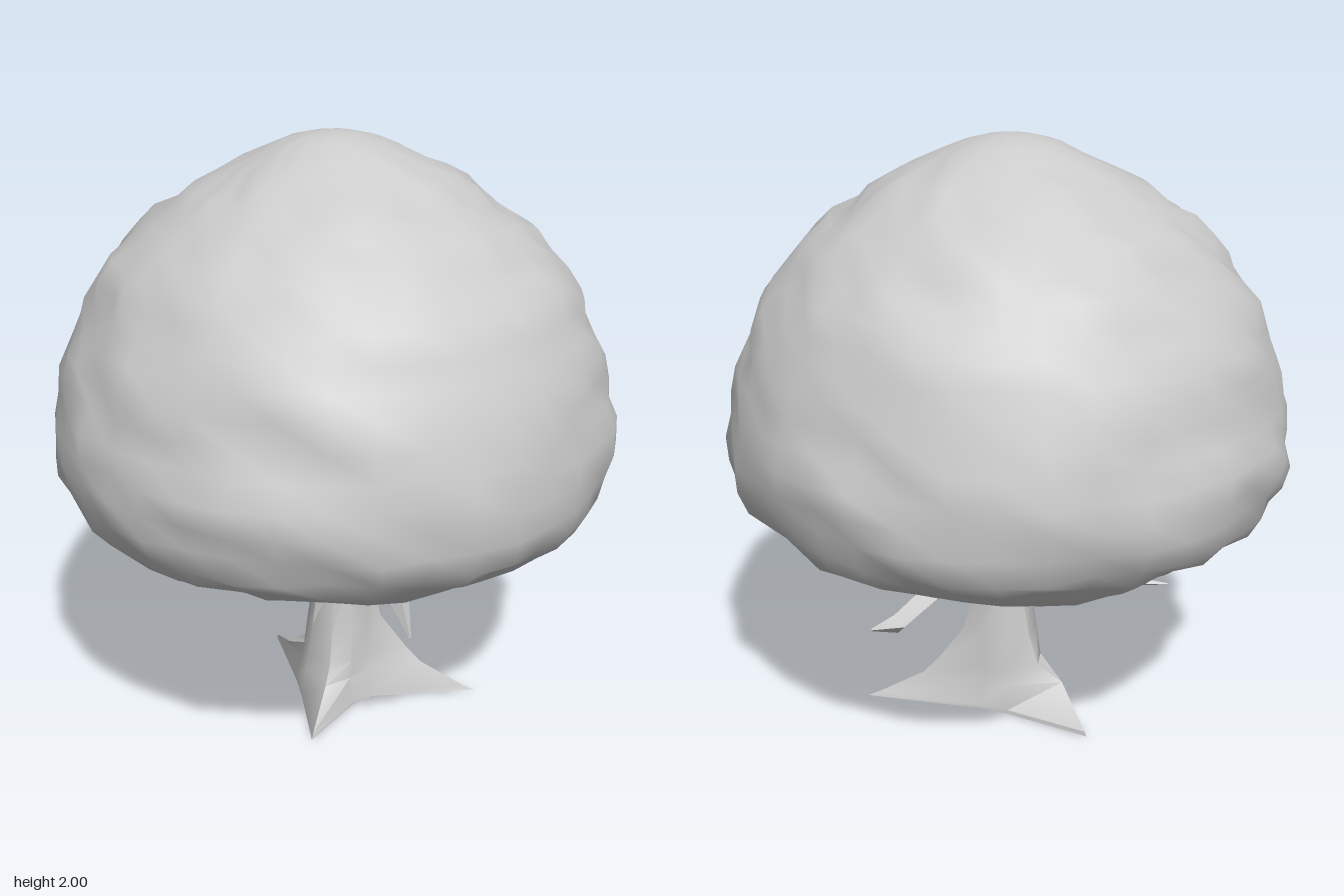
import * as THREE from 'three';
import { mergeVertices, toCreasedNormals } from 'three/addons/utils/BufferGeometryUtils.js';

const material = new THREE.MeshStandardMaterial({ color: 0xcccccc });
const v3 = (x, y, z) => new THREE.Vector3(x, y, z);

function addMesh(group, name, geometry) {
  const mesh = new THREE.Mesh(geometry, material);
  mesh.name = name;
  group.add(mesh);
}

// Repeatable random numbers from -1 to 1.
function seeded(seed) {
  return () => {
    seed = (seed * 16807) % 2147483647;
    return (seed / 2147483647) * 2 - 1;
  };
}

// Skin a stack of closed rings (each counter-clockwise seen from the far end) and cap both ends.
function loft(rings, creaseAngle) {
  const n = rings[0].length;
  const points = rings.flat();
  const index = [];
  for (let i = 0; i < rings.length - 1; i++) {
    for (let j = 0; j < n; j++) {
      const a = i * n + j, b = i * n + (j + 1) % n;
      index.push(a, b, b + n, a, b + n, a + n);
    }
  }
  [rings[0], rings[rings.length - 1]].forEach((ring, end) => {
    const centre = ring.reduce((sum, p) => sum.add(p), v3(0, 0, 0)).divideScalar(n);
    const c = points.push(centre) - 1;
    const start = end ? (rings.length - 1) * n : 0;
    for (let j = 0; j < n; j++) {
      const a = start + j, b = start + (j + 1) % n;
      index.push(c, end ? a : b, end ? b : a);
    }
  });
  const geometry = new THREE.BufferGeometry().setFromPoints(points);
  geometry.setIndex(index);
  return toCreasedNormals(geometry, creaseAngle);
}

// Rounded crown: a turned profile roughened by waves and a little jitter.
function crownGeometry() {
  const profile = new THREE.CatmullRomCurve3([
    [0, 0.58], [0.25, 0.597], [0.5, 0.645], [0.73, 0.735], [0.86, 0.84], [0.915, 0.95], [0.92, 1.06],
    [0.885, 1.22], [0.83, 1.4], [0.7, 1.61], [0.47, 1.8], [0.28, 1.91], [0.13, 1.975], [0, 1.995],
  ].map(([r, y]) => v3(r, y, 0)));
  const outline = profile.getSpacedPoints(32).map((p) => new THREE.Vector2(Math.max(p.x, 0), p.y));
  outline[0].x = outline[32].x = 0;
  const lathe = new THREE.LatheGeometry(outline, 40);
  lathe.deleteAttribute('uv');
  lathe.deleteAttribute('normal');
  const geometry = mergeVertices(lathe, 1e-4);
  const position = geometry.attributes.position;
  const random = seeded(77);
  for (let i = 0; i < position.count; i++) {
    const x = position.getX(i), y = position.getY(i), z = position.getZ(i);
    const bump = 0.009 * Math.sin(22 * y + 3 * Math.sin(5 * x) + 3 * Math.cos(5 * z))
      + 0.007 * Math.sin(17 * x + 2) * Math.sin(16 * z + 1)
      + 0.015 * random();
    // Calm near the axis, where the vertices crowd together.
    const k = 1 + bump * THREE.MathUtils.smoothstep(Math.hypot(x, z), 0.03, 0.6);
    position.setXYZ(i, x * k, 1.1 + (y - 1.1) * k, z * k);
  }
  geometry.computeVertexNormals();
  return geometry;
}

// Trunk with three flared roots; each level lists height, centre x, bark radius,
// root reaches and root directions in degrees. Two bark points fill each gap.
function trunkGeometry() {
  const gaps = [[42, 77], [155, 198], [285, 327]];
  const levels = [
    [0, 0.01, 0.15, [0.5, 0.36, 0.4], [13, 112, 243]],
    [0.015, 0.01, 0.15, [0.46, 0.34, 0.39], [13, 112, 243]],
    [0.1, 0.01, 0.13, [0.3, 0.18, 0.22], [10, 111, 224]],
    [0.16, 0.015, 0.125, [0.24, 0.13, 0.14], [8, 111, 232]],
    [0.28, 0.02, 0.115, [0.145, 0.12, 0.12], [4, 111, 240]],
    [0.48, 0.025, 0.09, [0.1, 0.09, 0.09], [4, 111, 244]],
    [0.66, 0.03, 0.09, [0.1, 0.09, 0.09], [4, 111, 244]],
  ];
  const rings = levels.map(([y, cx, bark, reach, roots]) => {
    const at = (degrees, r) => {
      const t = THREE.MathUtils.degToRad(degrees);
      return v3(cx + r * Math.cos(t), y, r * Math.sin(t));
    };
    return roots.flatMap((angle, i) => [at(angle, reach[i]), ...gaps[i].map((g) => at(g, bark))]).reverse();
  });
  return loft(rings, 0.75);
}

// Four-sided bough that tapers through an elbow to a point.
function branchGeometry(base, elbow, tip) {
  const path = [base, elbow, tip].map((p) => v3(...p));
  const radii = [0.05, 0.036, 0.004];
  const along = path[2].clone().sub(path[0]).setY(0).normalize();
  const side = v3(along.z, 0, -along.x);
  const rings = path.map((p, i) => {
    const dir = path[Math.min(i + 1, 2)].clone().sub(path[Math.max(i - 1, 0)]).normalize();
    const up = dir.clone().cross(side);
    return [0, 1, 2, 3].map((k) => {
      const t = k * Math.PI / 2;
      return p.clone().addScaledVector(side, radii[i] * Math.cos(t))
        .addScaledVector(up, radii[i] * Math.sin(t));
    });
  });
  return loft(rings, 0.5);
}

export function createModel() {
  const tree = new THREE.Group();
  tree.name = 'tree';
  addMesh(tree, 'crown', crownGeometry());
  addMesh(tree, 'trunk', trunkGeometry());
  addMesh(tree, 'rightBranch', branchGeometry([-0.02, 0.62, -0.02], [-0.2, 0.475, -0.08], [-0.53, 0.435, -0.16]));
  addMesh(tree, 'leftBranch', branchGeometry([0.12, 0.62, -0.07], [0.46, 0.49, -0.28], [0.555, 0.525, -0.36]));
  addMesh(tree, 'frontBranch', branchGeometry([0.08, 0.62, 0.05], [0.17, 0.51, 0.31], [0.15, 0.535, 0.6]));
  return tree;
}
